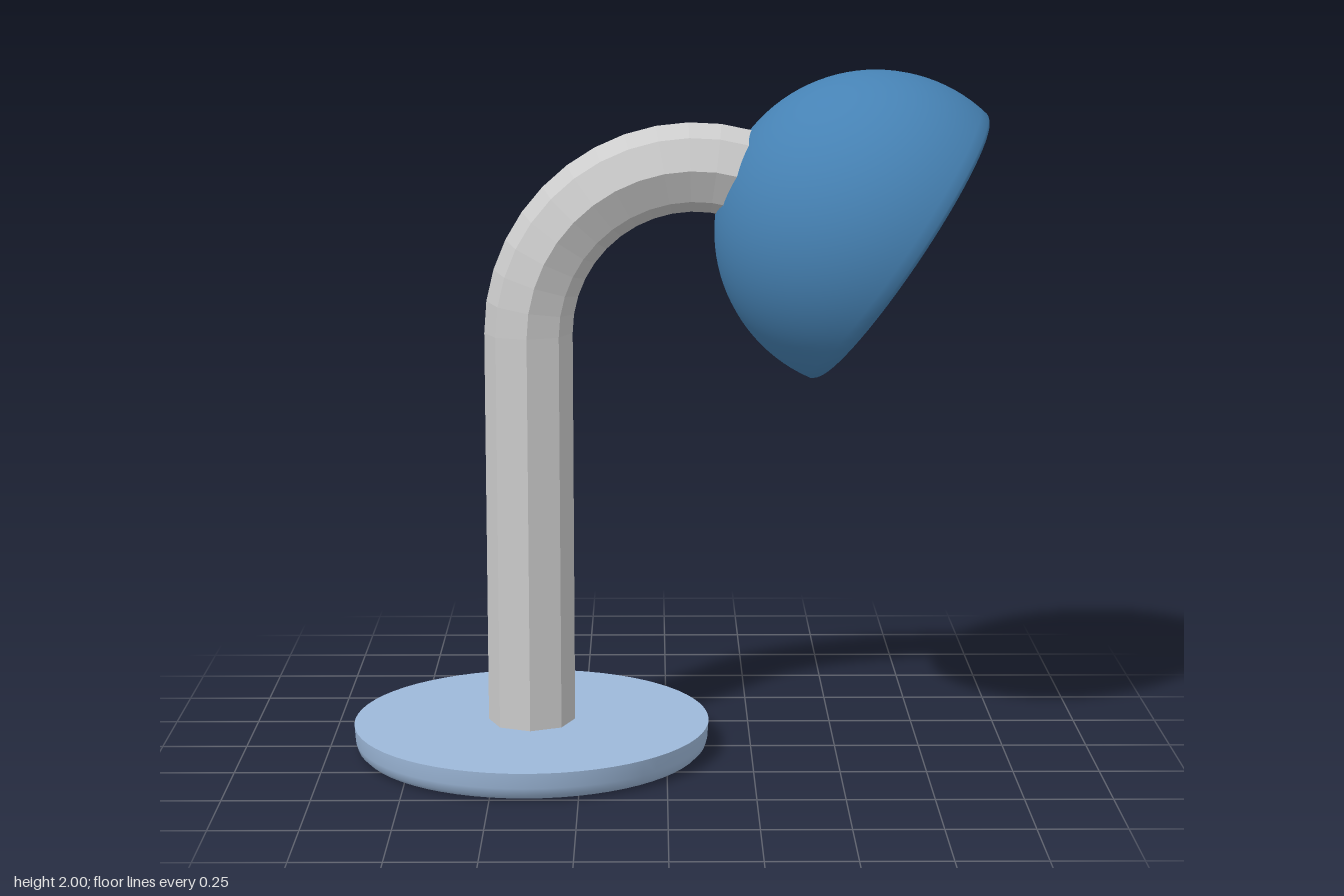
import * as THREE from 'three';
import { toCreasedNormals } from 'three/addons/utils/BufferGeometryUtils.js';

const rad = THREE.MathUtils.degToRad;
const v = (x, y) => new THREE.Vector2(x, y);

function addMesh(group, name, geometry, material, x, y, z = 0) {
  const mesh = new THREE.Mesh(geometry, material);
  mesh.name = name;
  mesh.position.set(x, y, z);
  group.add(mesh);
  return mesh;
}

// Points along a circle centred on the lathe axis, from one latitude to another
function arc(radius, fromDeg, toDeg, steps) {
  return Array.from({ length: steps + 1 }, (_, i) => {
    const a = rad(fromDeg + ((toDeg - fromDeg) * i) / steps);
    return v(Math.max(0, radius * Math.cos(a)), radius * Math.sin(a));
  });
}

export function createModel() {
  const lamp = new THREE.Group();
  lamp.name = 'deskLamp';

  const grey = new THREE.MeshStandardMaterial({ color: 0xcccccc, flatShading: true });
  const paleBlue = new THREE.MeshStandardMaterial({ color: 0x9db8d9 });
  const blue = new THREE.MeshStandardMaterial({ color: 0x4682b4 });

  const standX = -0.4, bendY = 1.245, bendRadius = 0.48, tubeRadius = 0.128;

  // Round base with a softened lower edge and a crisp flat top
  const baseProfile = [
    v(0, 0), v(0.48, 0), v(0.503, 0.006), v(0.516, 0.019),
    v(0.522, 0.04), v(0.525, 0.085), v(0, 0.085),
  ];
  addMesh(lamp, 'base', toCreasedNormals(new THREE.LatheGeometry(baseProfile, 64), rad(40)), paleBlue, standX, 0);

  // Octagonal upright
  const uprightHeight = bendY - 0.05;
  addMesh(lamp, 'upright',
    new THREE.CylinderGeometry(tubeRadius, tubeRadius, uprightHeight, 8, 1, true),
    grey, standX, 0.05 + uprightHeight / 2);

  // Curved neck, ending inside the wall of the shade
  const neckSweep = 106;
  const neck = new THREE.TorusGeometry(bendRadius, tubeRadius, 8, 12, rad(neckSweep));
  neck.rotateZ(rad(180 - neckSweep));
  addMesh(lamp, 'neck', neck, grey, standX + bendRadius, bendY);

  // Thick dome shade: inner skin down to the rim, then outer skin up to the crown
  const shadeProfile = [
    ...arc(0.417, 90, -10.5, 24),
    v(0.414, -0.085), v(0.42, -0.088), v(0.444, -0.088), v(0.451, -0.083),
    ...arc(0.4625, -9.5, 90, 28),
  ];
  const shade = toCreasedNormals(new THREE.LatheGeometry(shadeProfile, 64), rad(40));
  addMesh(lamp, 'shade', shade, blue, 0.6, 1.538, -0.022).rotation.z = rad(56.4);

  return lamp;
}
